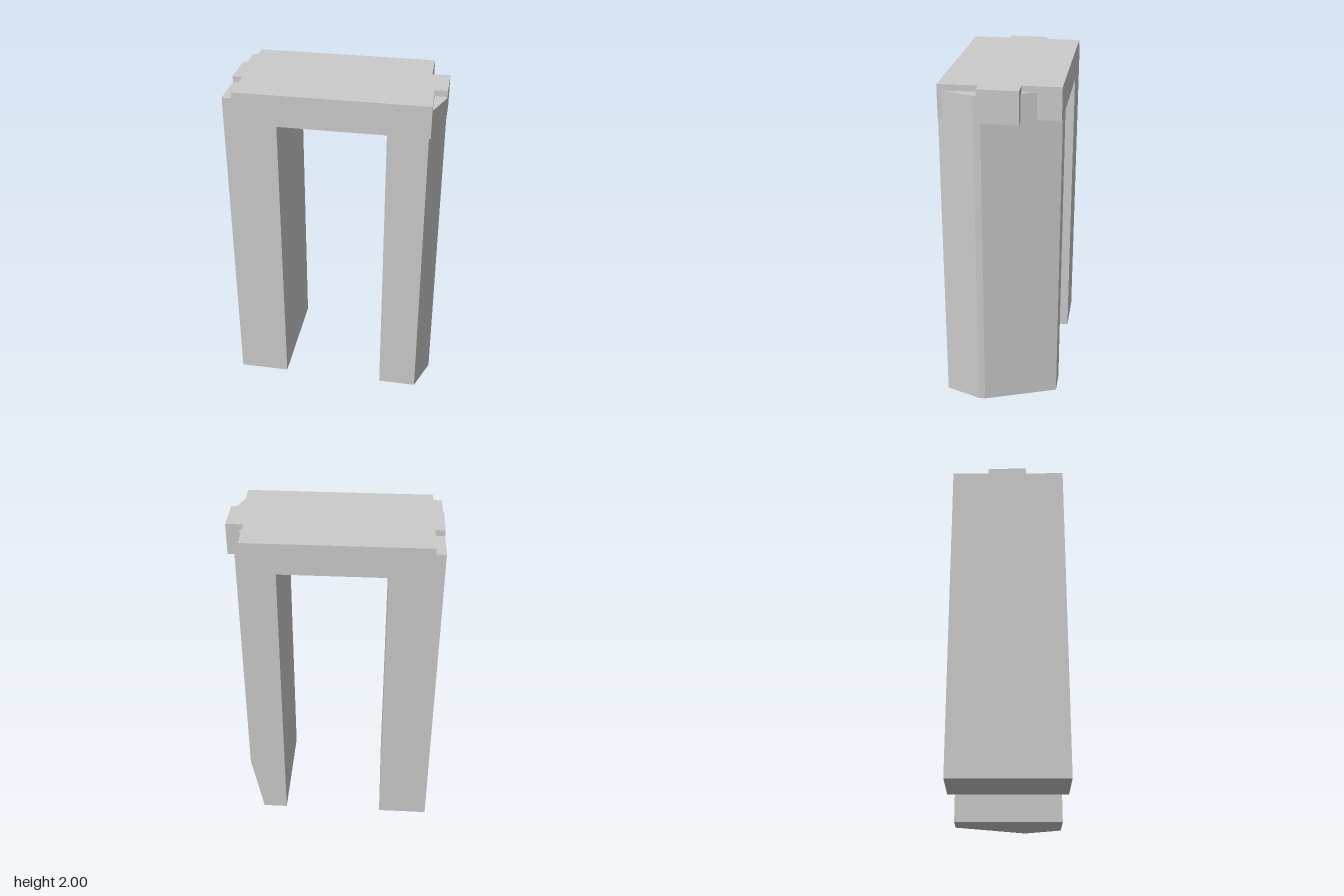
import * as THREE from 'three';

const material = new THREE.MeshStandardMaterial({ color: 0xcccccc, flatShading: true });

// Upright prism from a plan outline of [x, z] points
function prism(name, plan, y0, y1) {
  const shape = new THREE.Shape(plan.map(([x, z]) => new THREE.Vector2(x, -z)));
  const geometry = new THREE.ExtrudeGeometry(shape, { depth: y1 - y0, bevelEnabled: false });
  geometry.rotateX(-Math.PI / 2).translate(0, y0, 0);
  const mesh = new THREE.Mesh(geometry, material);
  mesh.name = name;
  return mesh;
}

export function createModel() {
  const group = new THREE.Group();
  group.name = 'archway';
  const d = 0.34, legTop = 1.965, lintelBottom = 1.81;

  // Plain rectangular pillar
  group.add(prism('rightPillar', [
    [-0.622, d], [-0.315, d], [-0.315, -d], [-0.622, -d],
  ], 0, legTop));

  // Pillar with a faceted outer side
  group.add(prism('leftPillar', [
    [0.312, d], [0.544, d], [0.62, 0.13], [0.62, 0.09], [0.463, -d], [0.312, -d],
  ], 0, legTop));

  // Lintel with notched corners, leaving a tongue at each end
  group.add(prism('lintel', [
    [-0.567, d], [0.554, d], [0.547, 0.112], [0.62, 0.112], [0.618, -0.12], [0.514, -0.118],
    [0.512, -d], [-0.565, -d], [-0.565, -0.122], [-0.622, -0.122], [-0.622, 0.112], [-0.563, 0.112],
  ], lintelBottom, 2));

  return group;
}
